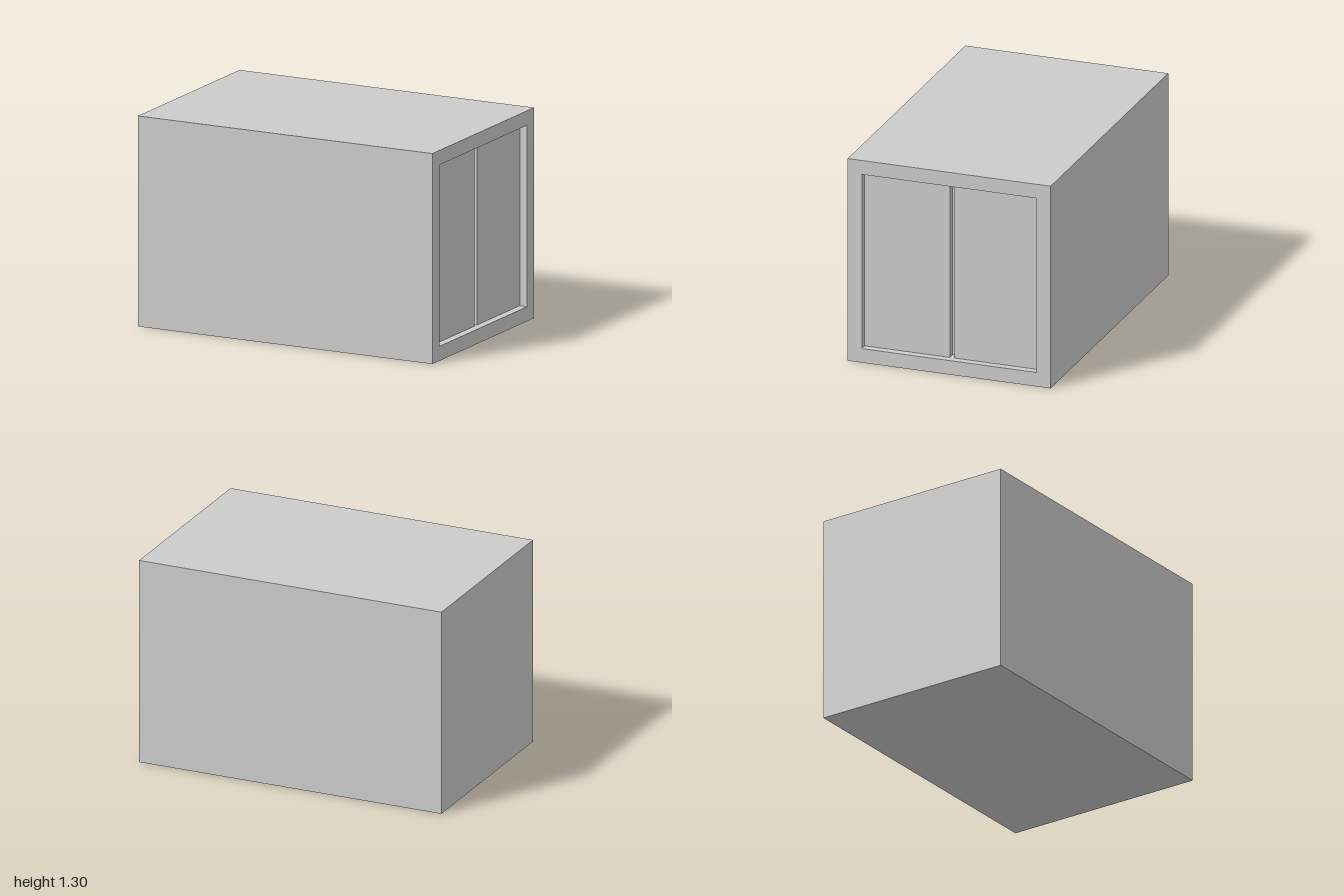
import * as THREE from 'three';

const LENGTH = 2, SIZE = 1.3;            // outer body
const OPEN = 1.12, POCKET = 0.1;         // square opening in the +x end
const GAP = 0.03, DOOR = 0.05;           // slot between doors, door thickness

// Box without its +x face; inward = true turns its walls to face inside
function openBox(w, h, d, inward) {
  const g = new THREE.BoxGeometry(w, h, d);
  const index = Array.from(g.index.array).slice(6);
  g.setIndex(inward ? index.reverse() : index);
  g.clearGroups();
  g.computeVertexNormals();
  return g;
}

function rectangle(path, s) {
  const r = s / 2;
  return path.moveTo(-r, -r).lineTo(r, -r).lineTo(r, r).lineTo(-r, r).closePath();
}

export function createModel() {
  const model = new THREE.Group();
  model.name = 'container';
  const material = new THREE.MeshStandardMaterial({ color: 0xcccccc });

  function add(name, geometry, x, y, z) {
    const mesh = new THREE.Mesh(geometry, material);
    mesh.name = name;
    mesh.position.set(x, y, z);
    model.add(mesh);
  }

  // Plain outer walls
  add('body', openBox(LENGTH, SIZE, SIZE, false), 0, SIZE / 2, 0);

  // Flat rim around the opening
  const rim = rectangle(new THREE.Shape(), SIZE);
  rim.holes.push(rectangle(new THREE.Path(), OPEN));
  add('doorFrame', new THREE.ShapeGeometry(rim).rotateY(Math.PI / 2), LENGTH / 2, SIZE / 2, 0);

  // Recess behind the rim
  add('doorRecess', openBox(POCKET, OPEN, OPEN, true), (LENGTH - POCKET) / 2, SIZE / 2, 0);

  // Pair of doors set back in the recess, with a slot between them
  const doorWidth = (OPEN - GAP) / 2;
  for (const side of [1, -1]) {
    add(side > 0 ? 'frontDoor' : 'backDoor', new THREE.BoxGeometry(DOOR, OPEN, doorWidth),
      LENGTH / 2 - POCKET + DOOR / 2, SIZE / 2, side * (GAP + doorWidth) / 2);
  }
  return model;
}
